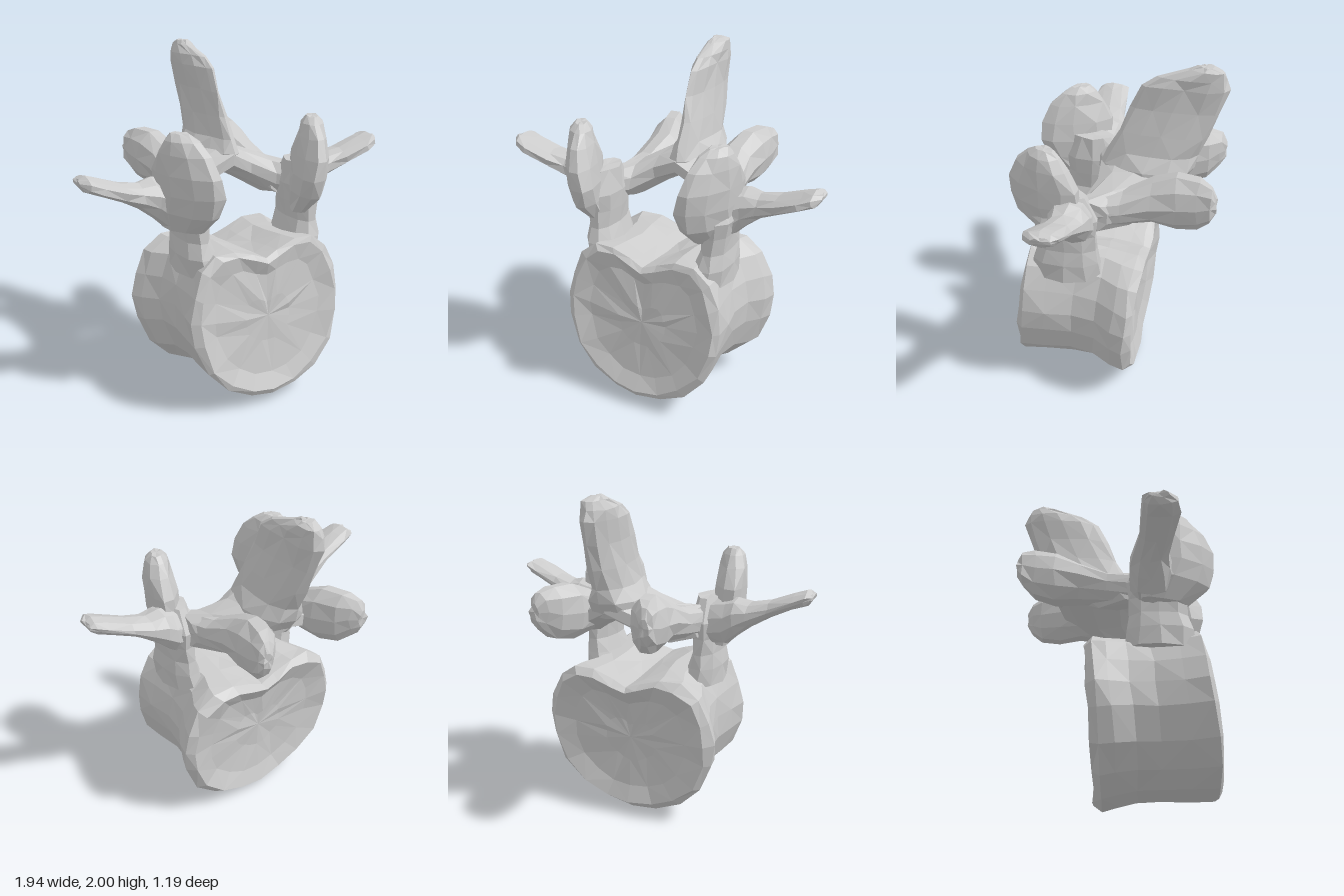
import * as THREE from 'three';

const material = new THREE.MeshStandardMaterial({ color: 0xcccccc, flatShading: true });

// Seeded noise for slightly irregular, carved-looking facets
let seed = 7;
const noise = (amount) => {
  seed = (seed * 16807) % 2147483647;
  return (seed / 2147483647 - 0.5) * 2 * amount;
};

// Skin a series of equal-length rings and close both ends with fans
function loft(name, rings) {
  const n = rings[0].length;
  const points = rings.flat();
  const centre = (ring) =>
    ring.reduce((sum, p) => sum.add(p), new THREE.Vector3()).divideScalar(n);
  points.push(centre(rings[0]), centre(rings[rings.length - 1]));
  const start = points.length - 2, end = start + 1, last = (rings.length - 1) * n;
  const faces = [];
  for (let i = 0; i < n; i++) {
    const j = (i + 1) % n;
    faces.push([start, j, i], [end, last + i, last + j]);
    for (let r = 0; r < rings.length - 1; r++) {
      const a = r * n + i, b = r * n + j;
      // alternate the diagonals for an uneven facet pattern
      if ((r + i) % 2) faces.push([a, b, b + n], [a, b + n, a + n]);
      else faces.push([a, b, a + n], [b, b + n, a + n]);
    }
  }
  // Turn faces outward whichever way the rings run
  const cross = new THREE.Vector3();
  const volume = faces.reduce((sum, [a, b, c]) =>
    sum + points[a].dot(cross.crossVectors(points[b], points[c])), 0);
  if (volume < 0) faces.forEach((f) => f.reverse());
  const geometry = new THREE.BufferGeometry().setFromPoints(points);
  geometry.setIndex(faces.flat());
  geometry.computeVertexNormals();
  const mesh = new THREE.Mesh(geometry, material);
  mesh.name = name;
  return mesh;
}

// Elliptical sections along a path of [x, y, z, halfA, halfB];
// taper thins the section towards +B
function sweep(path, dirA, dirB, { sides = 10, taper = 0 } = {}) {
  const A = new THREE.Vector3(...dirA), B = new THREE.Vector3(...dirB);
  return path.map(([x, y, z, a, b]) => Array.from({ length: sides }, (_, i) => {
    const t = (i / sides) * Math.PI * 2;
    const p = new THREE.Vector3(x, y, z)
      .addScaledVector(A, a * Math.cos(t) * (1 - taper * Math.sin(t)))
      .addScaledVector(B, b * Math.sin(t));
    return p.add(new THREE.Vector3(noise(0.008), noise(0.004), noise(0.008)));
  }));
}

// Same rings on the other side; sum is twice the x of the mirror plane
const mirrored = (rings, sum) =>
  rings.map((ring) => ring.map((p) => new THREE.Vector3(sum - p.x, p.y, p.z)));

const X = [1, 0, 0], Y = [0, 1, 0], Z = [0, 0, 1];

function vertebralBody() {
  // Half of the kidney outline, bottom to top notch
  const half = [[0, -1], [0.3, -0.95], [0.6, -0.78], [0.85, -0.5], [0.98, -0.1], [1, 0.2],
    [0.95, 0.5], [0.84, 0.8], [0.64, 0.97], [0.4, 0.97], [0.16, 0.87], [0, 0.8]];
  const outline = [...half, ...half.slice(1, -1).reverse().map(([x, y]) => [-x, y])];
  // scale, half width, bottom y, top y, z at bottom, z at top
  const stations = [
    [0.3, 0.49, 0.07, 0.97, 0.545, 0.465],
    [0.72, 0.49, 0.07, 0.97, 0.56, 0.455],
    [0.93, 0.49, 0.07, 0.97, 0.595, 0.48],
    [1, 0.5, 0.065, 0.975, 0.57, 0.46],
    [1, 0.48, 0.06, 0.96, 0.42, 0.34],
    [1, 0.455, 0.065, 0.94, 0.26, 0.18],
    [1, 0.475, 0.055, 0.93, 0.12, 0.04],
    [1, 0.54, 0.03, 0.92, 0.01, -0.07],
    [1, 0.565, 0.008, 0.915, -0.08, -0.14],
    [0.92, 0.565, 0.008, 0.915, -0.125, -0.185],
    [0.68, 0.565, 0.008, 0.915, -0.09, -0.14],
    [0.3, 0.565, 0.008, 0.915, -0.075, -0.12],
  ];
  return loft('vertebralBody', stations.map(([s, w, y0, y1, z0, z1]) =>
    outline.map(([u, v]) => {
      const h = (s * v + 1) / 2;
      return new THREE.Vector3(
        0.035 + u * s * w + noise(0.008),
        y0 + h * (y1 - y0) + noise(0.006),
        z0 + h * (z1 - z0) + noise(0.008));
    })));
}

export function createModel() {
  seed = 7;
  const model = new THREE.Group();
  model.name = 'vertebra';
  model.add(vertebralBody());

  // Paired parts: name, mirror sum, rings
  const pairs = [
    ['Pedicle', 0.07, sweep([
      [0.37, 0.82, 0.25, 0.12, 0.21], [0.39, 0.93, 0.25, 0.1, 0.2],
      [0.4, 1.02, 0.245, 0.085, 0.175], [0.4, 1.12, 0.24, 0.09, 0.17],
      [0.41, 1.22, 0.24, 0.105, 0.19], [0.4, 1.36, 0.24, 0.07, 0.12],
    ], X, Z)],
    ['UpperJointHorn', -0.01, sweep([
      [0.38, 1.08, 0.27, 0.06, 0.14], [0.39, 1.2, 0.33, 0.095, 0.21],
      [0.39, 1.31, 0.36, 0.105, 0.22], [0.4, 1.42, 0.36, 0.1, 0.21],
      [0.41, 1.53, 0.36, 0.085, 0.155], [0.415, 1.6, 0.35, 0.065, 0.1],
      [0.42, 1.635, 0.34, 0.035, 0.05],
    ], X, [-0.35, 0, 1])],
    ['SideWing', 0, sweep([
      [0.34, 1.2, 0.22, 0.14, 0.14], [0.47, 1.225, 0.2, 0.14, 0.135],
      [0.53, 1.26, 0.19, 0.115, 0.12], [0.61, 1.285, 0.19, 0.075, 0.105],
      [0.72, 1.325, 0.215, 0.052, 0.1], [0.86, 1.385, 0.23, 0.045, 0.11],
      [0.93, 1.41, 0.225, 0.042, 0.095], [0.96, 1.42, 0.22, 0.02, 0.05],
    ], Y, Z)],
    ['LowerJointHorn', 0.05, sweep([
      [0.35, 1.22, 0.14, 0.07, 0.1], [0.3, 1.25, -0.06, 0.1, 0.1],
      [0.27, 1.3, -0.22, 0.12, 0.13], [0.29, 1.32, -0.36, 0.115, 0.17],
      [0.325, 1.33, -0.48, 0.09, 0.155], [0.355, 1.35, -0.55, 0.06, 0.11],
      [0.365, 1.35, -0.58, 0.03, 0.05],
    ], X, Y)],
  ];
  for (const [name, sum, rings] of pairs) {
    model.add(loft('left' + name, rings), loft('right' + name, mirrored(rings, sum)));
  }

  // Lamina: the roof of the canal, arching from pedicle to pedicle
  const side = [[0.4, 1.22, 0.13, 0.1, 0.13], [0.3, 1.23, 0, 0.115, 0.18],
    [0.17, 1.3, -0.11, 0.105, 0.23]];
  const arch = [...side, [0.035, 1.37, -0.14, 0.1, 0.26],
    ...side.slice().reverse().map(([x, ...rest]) => [0.07 - x, ...rest])];
  model.add(loft('lamina', sweep(arch, Y, Z)));

  // Spine blade: rises backwards from the lamina, thinner in front
  model.add(loft('spineBlade', sweep([
    [0.045, 1.3, -0.16, 0.14, 0.2], [0.045, 1.4, -0.15, 0.14, 0.27],
    [0.045, 1.48, -0.18, 0.095, 0.26], [0.04, 1.6, -0.24, 0.075, 0.25],
    [0.03, 1.74, -0.3, 0.06, 0.25], [0.025, 1.87, -0.35, 0.06, 0.24],
    [0.025, 1.925, -0.39, 0.06, 0.19], [0.025, 1.975, -0.46, 0.05, 0.1],
    [0.025, 1.997, -0.46, 0.03, 0.04],
  ], X, Z, { sides: 12, taper: 0.3 })));

  return model;
}
